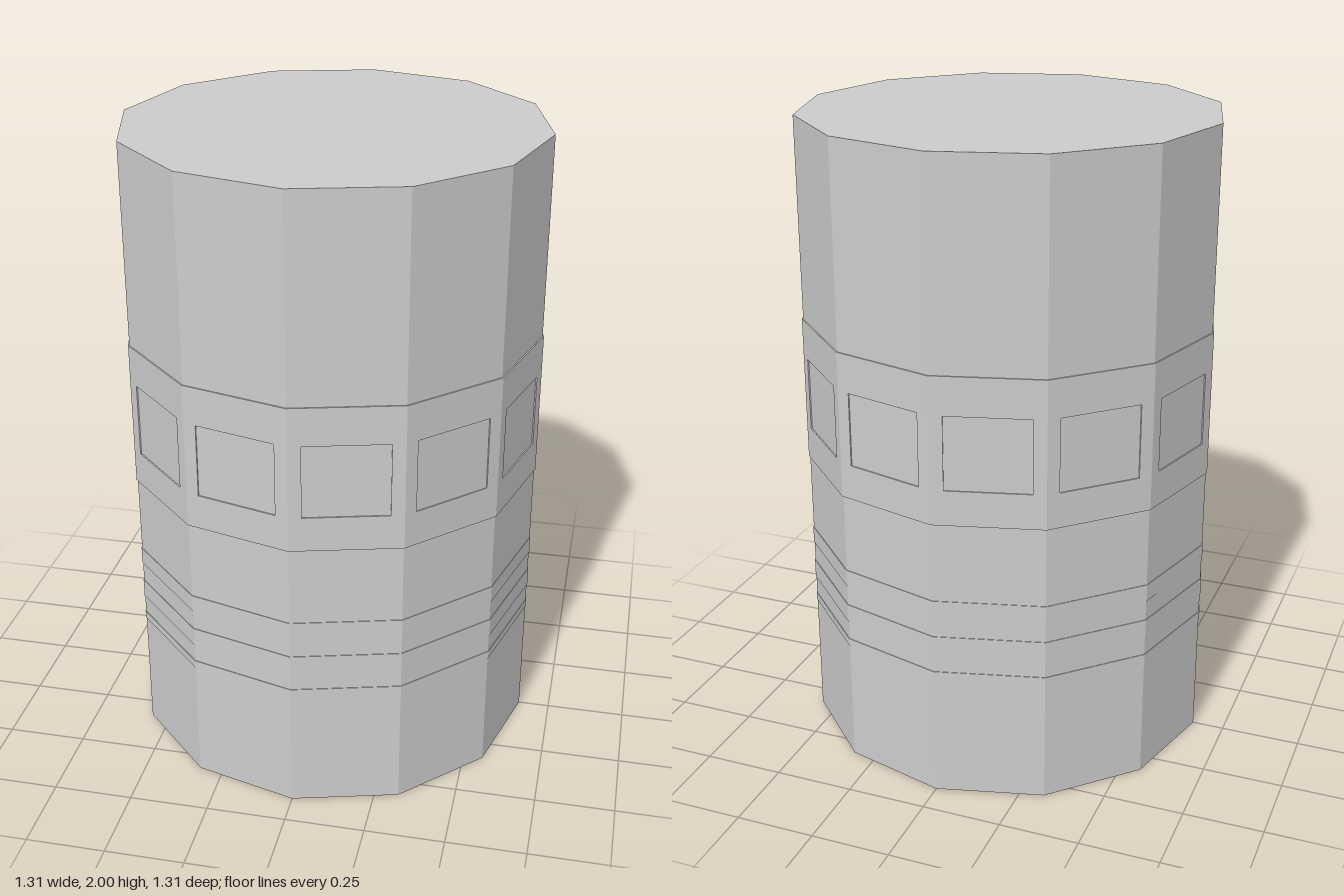
import * as THREE from 'three';

const SIDES = 12;
const BODY_R = 0.65;
const BAND_R = 0.654;
const RIB_R = 0.652;

const grey = new THREE.MeshStandardMaterial({ color: 0xcccccc, flatShading: true });

// Twelve-sided prism between two heights
function prism(name, radius, bottom, top) {
  const geometry = new THREE.CylinderGeometry(radius, radius, top - bottom, SIDES);
  const mesh = new THREE.Mesh(geometry, grey);
  mesh.position.y = (bottom + top) / 2;
  mesh.name = name;
  return mesh;
}

// Flat plate with a window, one per side of the band
function windowPlate(bottom, top, windowBottom, windowTop) {
  const half = BAND_R * Math.sin(Math.PI / SIDES);
  const inner = half * 0.76;
  const shape = new THREE.Shape();
  shape.moveTo(-half, bottom).lineTo(half, bottom).lineTo(half, top).lineTo(-half, top).closePath();
  const hole = new THREE.Path();
  hole.moveTo(-inner, windowBottom).lineTo(-inner, windowTop);
  hole.lineTo(inner, windowTop).lineTo(inner, windowBottom).closePath();
  shape.holes.push(hole);
  const depth = 0.006;
  const geometry = new THREE.ExtrudeGeometry(shape, { depth, bevelEnabled: false });
  geometry.translate(0, 0, BAND_R * Math.cos(Math.PI / SIDES) - depth);
  return geometry;
}

export function createModel() {
  const model = new THREE.Group();
  model.name = 'canister';

  model.add(prism('body', BODY_R, 0, 2));

  // Raised band with a shallow recessed window on every side
  const band = new THREE.Group();
  band.name = 'band';
  const plate = windowPlate(0.91, 1.37, 1.02, 1.25);
  for (let i = 0; i < SIDES; i++) {
    const mesh = new THREE.Mesh(plate, grey);
    mesh.name = 'bandPlate';
    mesh.rotation.y = ((i + 0.5) / SIDES) * Math.PI * 2;
    band.add(mesh);
  }
  model.add(band);

  // Low ribs around the lower half
  for (const [bottom, top] of [[0.605, 0.66], [0.48, 0.54], [0.395, 0.42]]) {
    model.add(prism('rib', RIB_R, bottom, top));
  }

  return model;
}
